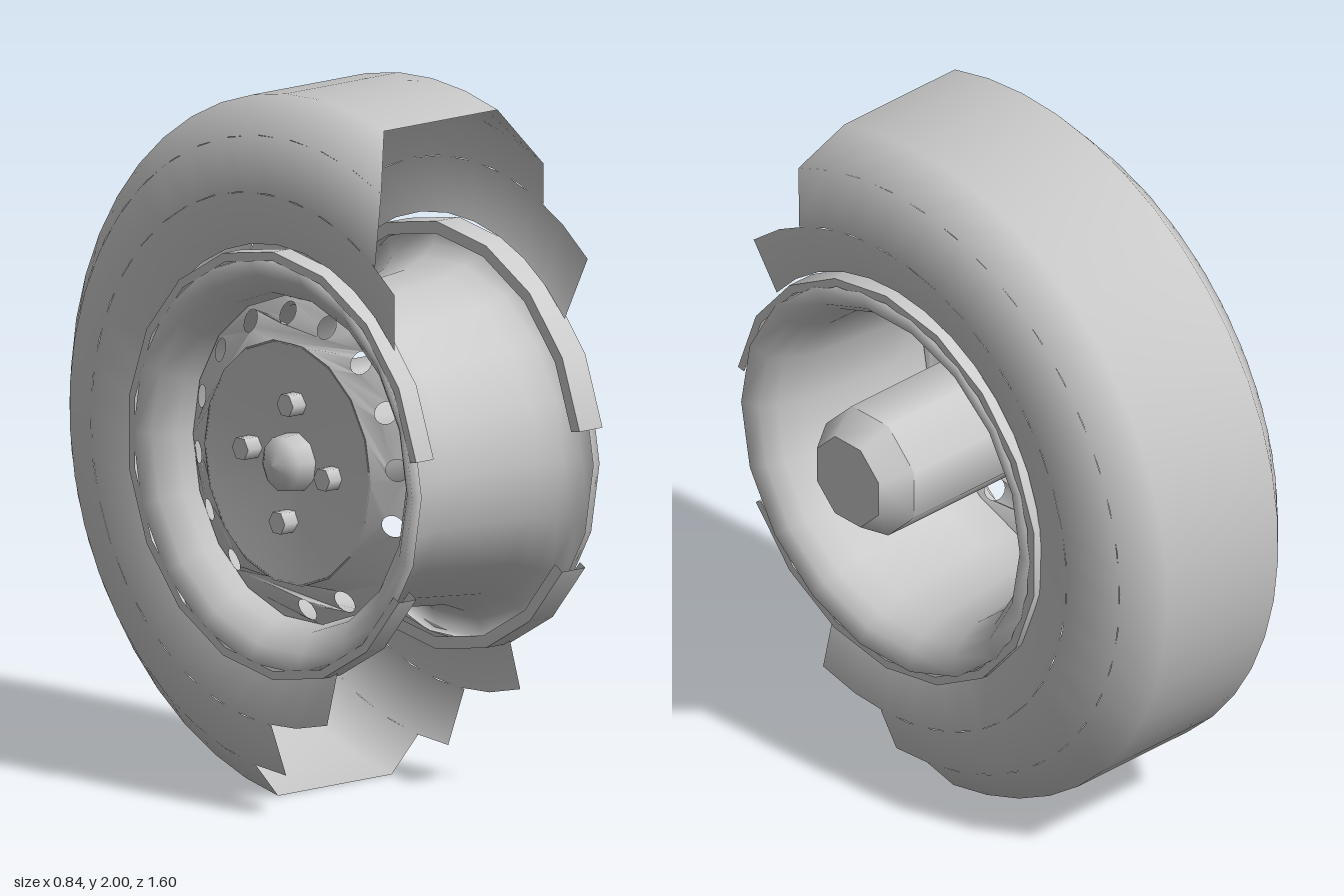
import * as THREE from 'three';

const grey = new THREE.MeshStandardMaterial({ color: 0xcccccc, side: THREE.DoubleSide });
grey.name = 'plain grey';
const AXLE_Z = 0.2;
const rad = THREE.MathUtils.degToRad;

// Sweeps a profile of [x, radius] points about the x axis. Angles run from the top
// towards the back. arcs[i] = [startA, startB, endA, endB] trims strip i.
function sweep(profile, { arcs, segs = 18, sharp = false } = {}) {
  const facing = profile.slice(1).map(([x, r], i) =>
    new THREE.Vector2(-(r - profile[i][1]), x - profile[i][0]).normalize());
  const pos = [], nor = [], idx = [];
  facing.forEach((n, i) => {
    const arc = arcs ? arcs[i] : [-10, -10, 350, 350];
    const base = pos.length / 3;
    for (let s = 0; s <= segs; s++) {
      for (let e = 0; e < 2; e++) {
        const [x, r] = profile[i + e];
        const a = rad(THREE.MathUtils.lerp(arc[e], arc[2 + e], s / segs));
        const next = facing[e ? i + 1 : i - 1];
        const m = sharp || !next ? n : n.clone().add(next).normalize();
        pos.push(x, r * Math.cos(a), -r * Math.sin(a));
        nor.push(m.x, m.y * Math.cos(a), -m.y * Math.sin(a));
      }
      if (s < segs) {
        const k = base + s * 2;
        idx.push(k, k + 1, k + 2, k + 1, k + 3, k + 2);
      }
    }
  });
  const g = new THREE.BufferGeometry();
  g.setAttribute('position', new THREE.Float32BufferAttribute(pos, 3));
  g.setAttribute('normal', new THREE.Float32BufferAttribute(nor, 3));
  g.setIndex(idx);
  return g;
}

export function createModel() {
  const model = new THREE.Group();
  model.name = 'tornWheel';
  const add = (name, geometry, y, x = 0, z = AXLE_Z) => {
    const mesh = new THREE.Mesh(geometry, grey);
    mesh.name = name;
    mesh.position.set(x, y, z);
    model.add(mesh);
    return mesh;
  };

  // Torn tyre: each strip stops at its own ragged angle
  add('tornTyre', sweep([
    [-0.38, 0.6], [-0.42, 0.75], [-0.365, 0.9], [-0.27, 1.003],
    [0.15, 1.003], [0.235, 0.9], [0.295, 0.75], [0.25, 0.6],
  ], {
    segs: 24,
    arcs: [
      [-51, -43, 203, 198], [-35, -26, 180, 180], [-26, -17.4, 172, 172],
      [-17.4, -17.4, 172, 172],
      [-17.4, -26, 172, 172], [-26, -26, 180, 180], [-43, -51, 198, 203],
    ],
  }), 1);

  // Remains of the tyre beads on both rim edges
  const beadArc = [-80, -80, 240, 240];
  for (const [name, inner, outer] of [['rightBead', 0.19, 0.275], ['leftBead', -0.35, -0.415]]) {
    add(name, sweep([[inner, 0.57], [inner, 0.605], [outer, 0.605], [outer, 0.58]],
      { segs: 16, sharp: true, arcs: [beadArc, beadArc, beadArc] }), 0.983);
  }

  // Rim barrel with flared lips
  add('rim', sweep([
    [-0.385, 0.585], [-0.415, 0.58], [-0.39, 0.53], [-0.345, 0.475], [-0.16, 0.438],
    [0.15, 0.468], [0.22, 0.495], [0.262, 0.525], [0.278, 0.58], [0.25, 0.585],
  ]), 0.983);

  // Sloping outer ring of the disc with sixteen vents
  const ring = new THREE.Shape().absarc(0, 0, 0.46, 0, Math.PI * 2);
  ring.holes.push(new THREE.Path().absarc(0, 0, 0.34, 0, Math.PI * 2, true));
  for (let i = 0; i < 16; i++) {
    const a = (i + 0.25) * Math.PI / 8;
    ring.holes.push(new THREE.Path().absarc(0.415 * Math.cos(a), 0.415 * Math.sin(a), 0.031, a, a + Math.PI * 2, true));
  }
  const ringGeo = new THREE.ShapeGeometry(ring, 9);
  const p = ringGeo.attributes.position;
  for (let i = 0; i < p.count; i++) {
    const r = Math.hypot(p.getX(i), p.getY(i));
    p.setXYZ(i, -0.36 + (r - 0.34) * 0.5, p.getY(i), p.getX(i));
  }
  ringGeo.computeVertexNormals();
  add('ventedRing', ringGeo, 0.983);

  // Dished centre of the disc
  add('discCentre', sweep([[-0.36, 0.345], [-0.335, 0.17], [-0.325, 0.0001]]), 0.983);

  // Hub cap and four wheel nuts
  add('hubCap', sweep([[-0.42, 0.0001], [-0.41, 0.045], [-0.385, 0.078], [-0.32, 0.085]], { segs: 10 }), 0.983);
  for (let i = 0; i < 4; i++) {
    const a = i * Math.PI / 2 + 0.1;
    const nut = add('wheelNut', new THREE.CylinderGeometry(0.034, 0.034, 0.06, 6),
      0.983 + 0.17 * Math.cos(a), -0.355, AXLE_Z + 0.17 * Math.sin(a));
    nut.rotation.z = Math.PI / 2;
  }

  // Octagonal axle stub with a tapered end
  const axle = new THREE.CylinderGeometry(0.192, 0.192, 0.665, 8, 1, true);
  const taper = new THREE.CylinderGeometry(0.135, 0.192, 0.085, 8);
  for (const [name, geo, x] of [['axle', axle, 0.0025], ['axleEnd', taper, 0.3775]]) {
    geo.rotateY(Math.PI / 8).rotateZ(-Math.PI / 2);
    add(name, geo, 1.045, x);
  }
  return model;
}
